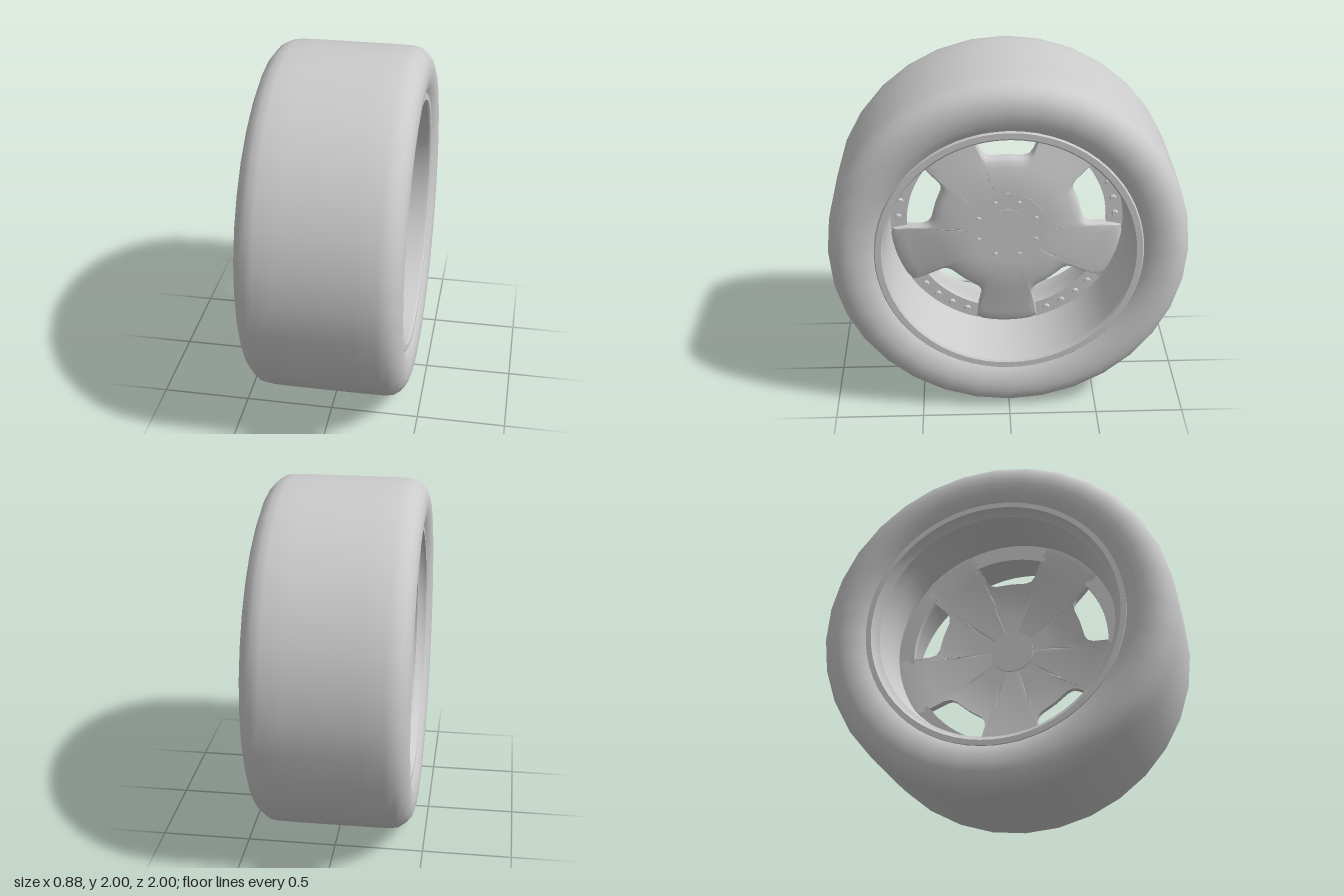
import * as THREE from 'three';
import { toCreasedNormals } from 'three/addons/utils/BufferGeometryUtils.js';

const material = new THREE.MeshStandardMaterial({ color: 0xcccccc, side: THREE.DoubleSide });
const RAD = Math.PI / 180;

function part(name, geometry, parent) {
  const mesh = new THREE.Mesh(geometry, material);
  mesh.name = name;
  parent.add(mesh);
  return mesh;
}

// Ring turned around the x axis from [x, radius] points
function turned(profile, segments, crease = 0.6) {
  const points = profile.map(([x, r]) => new THREE.Vector2(r, x));
  const geometry = new THREE.LatheGeometry(points, segments);
  geometry.rotateZ(-Math.PI / 2);
  return toCreasedNormals(geometry, crease);
}

// Short cylinder along x, from x0 to x1
function disc(radius, x0, x1, segments, topRadius = radius) {
  const geometry = new THREE.CylinderGeometry(topRadius, radius, x1 - x0, segments);
  geometry.rotateZ(-Math.PI / 2);
  geometry.translate((x0 + x1) / 2, 0, 0);
  return toCreasedNormals(geometry, 0.7);
}

// Front height of the wheel face: flat at the hub, falling towards the barrel
const faceX = (r) => 0.1 - 0.065 * THREE.MathUtils.smoothstep(r, 0.25, 0.67);

// Five-spoke outline as [angle, radius], starting at the middle of a window
function starOutline() {
  const half = [[0, 0.43], [6, 0.43], [12, 0.434], [16, 0.45], [18, 0.485], [18.5, 0.53],
    [18.9, 0.57], [19.6, 0.62], [20.3, 0.662], [24, 0.67], [28, 0.67], [32, 0.67], [36, 0.67]];
  const mirrored = half.slice(1, -1).reverse().map(([a, r]) => [72 - a, r]);
  const outline = [];
  for (let i = 0; i < 5; i++) {
    for (const [a, r] of [...half, ...mirrored]) outline.push([(a + 72 * i) * RAD, r]);
  }
  return outline;
}

// Domed star plate: front rows outwards, rounded rim, back rows inwards
function starGeometry() {
  const outline = starOutline();
  const n = outline.length;
  const rows = [[0.1, 0], [0.3, 0], [0.45, 0], [0.6, 0], [0.75, 0], [0.88, 0], [0.95, 0.003],
    [0.985, 0.012], [1, 0.028], [1, 0.06], [0.95, 0.06], [0.75, 0.06], [0.5, 0.06], [0.1, 0.06]];
  const positions = [];
  const index = [];
  rows.forEach(([s, drop], k) => {
    outline.forEach(([a, R], j) => {
      const r = R * s;
      positions.push(faceX(r) - drop, r * Math.cos(a), r * Math.sin(a));
      if (k === rows.length - 1) return;
      const p = k * n + j, q = k * n + (j + 1) % n;
      index.push(p, p + n, q + n, p, q + n, q);
    });
  });
  const geometry = new THREE.BufferGeometry();
  geometry.setAttribute('position', new THREE.Float32BufferAttribute(positions, 3));
  geometry.setIndex(index);
  return toCreasedNormals(geometry, 0.75);
}

// Curved strip that closes the outer end of a window
function flangeGeometry() {
  const shape = new THREE.Shape();
  const a0 = Math.PI / 2 - 21 * RAD, a1 = Math.PI / 2 + 21 * RAD;
  shape.absarc(0, 0, 0.668, a0, a1, false);
  shape.absarc(0, 0, 0.575, a1, a0, true);
  const geometry = new THREE.ExtrudeGeometry(shape, { depth: 0.03, bevelEnabled: false, curveSegments: 12 });
  geometry.rotateY(Math.PI / 2);
  geometry.translate(-0.02, 0, 0);
  return geometry;
}

export function createModel() {
  const wheel = new THREE.Group();
  wheel.name = 'wheel';
  const body = new THREE.Group();
  body.name = 'wheelBody';
  body.position.y = 1;
  wheel.add(body);

  // Tyre: one side from bead to tread, mirrored
  const side = [[0.36, 0.70], [0.39, 0.725], [0.415, 0.76], [0.435, 0.80], [0.44, 0.85],
    [0.44, 0.89], [0.425, 0.935], [0.4, 0.965], [0.365, 0.99], [0.32, 0.998], [0.2, 1]];
  const tyreProfile = [...side.map(([x, r]) => [-x, r]), ...side.slice().reverse(), [-0.36, 0.70]];
  part('tyre', turned(tyreProfile, 32, 0.9), body);

  // Rim: outer skin from back to front, then lip, deep barrel and stepped back
  part('rim', turned([
    [-0.41, 0.735], [-0.37, 0.735], [-0.35, 0.70], [0.35, 0.70], [0.37, 0.74], [0.405, 0.74],
    [0.415, 0.733], [0.415, 0.70], [0.405, 0.69], [0.37, 0.685], [0.1, 0.675], [0, 0.67],
    [-0.06, 0.665], [-0.07, 0.65], [-0.24, 0.65], [-0.27, 0.67], [-0.36, 0.67],
    [-0.38, 0.695], [-0.41, 0.705], [-0.41, 0.735],
  ], 64), body);

  // Five-spoke face
  part('spokePlate', starGeometry(), body);

  // Hub plate and cap with eight bolts
  part('hubPlate', disc(0.225, 0.05, 0.102, 48), body);
  part('hubCap', disc(0.125, 0.03, 0.105, 40), body);
  const hubBolt = disc(0.016, 0.09, 0.114, 10, 0.012);
  for (let i = 0; i < 8; i++) {
    const a = (22.5 + 45 * i) * RAD;
    part('hubBolt', hubBolt, body).position.set(0, 0.177 * Math.cos(a), 0.177 * Math.sin(a));
  }

  // Window flanges, each with four bolts
  const flange = flangeGeometry();
  const flangeBolt = disc(0.021, 0.005, 0.026, 12, 0.015);
  for (let i = 0; i < 5; i++) {
    const section = new THREE.Group();
    section.name = 'windowSection';
    section.rotation.x = 72 * i * RAD;
    body.add(section);
    part('windowFlange', flange, section);
    for (const deg of [-13.8, -4.6, 4.6, 13.8]) {
      part('flangeBolt', flangeBolt, section)
        .position.set(0, 0.625 * Math.cos(deg * RAD), 0.625 * Math.sin(deg * RAD));
    }
  }
  return wheel;
}
